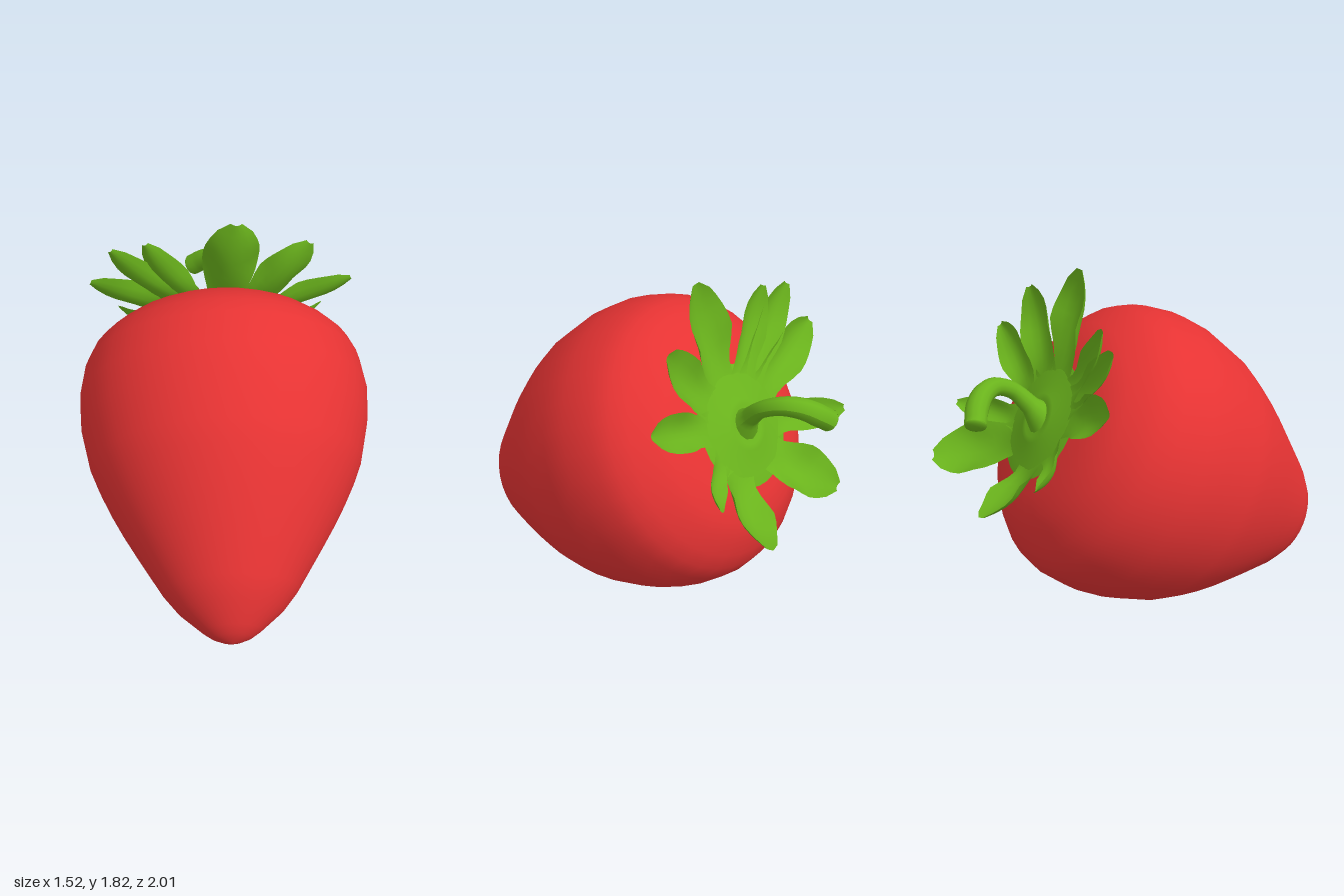
import * as THREE from 'three';

const berryRed = new THREE.MeshStandardMaterial({ color: 0xe63333 });
berryRed.name = 'berry red';
const leafGreen = new THREE.MeshStandardMaterial({ color: 0x6ab31c, side: THREE.DoubleSide });
leafGreen.name = 'leaf green';

function mesh(name, geometry, material) {
  const m = new THREE.Mesh(geometry, material);
  m.name = name;
  return m;
}

// Smooth lathe from [radius, height] pairs, listed bottom to top
function lathe(pairs, sides) {
  return new THREE.LatheGeometry(pairs.map(([r, y]) => new THREE.Vector2(r, y)), sides);
}

// Fruit body: a lathe whose tip droops slightly off the axis
function fruitGeometry() {
  const geo = lathe([
    [0, -1.265], [0.05, -1.255], [0.1, -1.235], [0.15, -1.2], [0.265, -1.1], [0.345, -1.0], [0.475, -0.79],
    [0.547, -0.67], [0.607, -0.56], [0.66, -0.45], [0.704, -0.34], [0.752, -0.12], [0.759, 0.04],
    [0.732, 0.2], [0.69, 0.29], [0.63, 0.355], [0.555, 0.415], [0.485, 0.455], [0.37, 0.493],
    [0.15, 0.515], [0, 0.52],
  ], 36);
  const pos = geo.attributes.position;
  for (let i = 0; i < pos.count; i++) {
    pos.setZ(i, pos.getZ(i) - 0.027 * THREE.MathUtils.smoothstep(-pos.getY(i), -0.1, 0.9));
  }
  return geo;
}

// Leaf running from the calyx disc to its tip: lies flat, then curls up, with raised edges
function leafGeometry([tipX, tipY, tipZ, width]) {
  const length = Math.hypot(tipX, tipZ);
  const dx = tipX / length, dz = tipZ / length;
  const start = 0.2, baseY = 0.526, baseWidth = 0.2;
  const outline = [0.8, 0.74, 0.74, 0.84, 0.95, 1, 1, 0.96, 0.84, 0.62, 0.2];
  const rows = outline.length - 1, cols = 6;
  const geo = new THREE.PlaneGeometry(1, 1, cols, rows);
  const pos = geo.attributes.position;
  for (let i = 0; i <= rows; i++) {
    const t = i / rows;
    const r = start + (length - start) * t;
    const w = THREE.MathUtils.lerp(baseWidth, width * outline[i], Math.min(1, t * 3.5));
    for (let j = 0; j <= cols; j++) {
      const u = (j / cols) * 2 - 1;
      const side = u * w / 2;
      const cup = 0.3 * w * u * u * Math.sin(Math.PI * Math.min(t, 0.75)) * Math.min(1, t * 2);
      const y = baseY + (tipY - baseY) * t ** 2.8 + cup;
      pos.setXYZ(i * (cols + 1) + j, dx * r + dz * side, y, dz * r - dx * side);
    }
  }
  geo.computeVertexNormals();
  return geo;
}

// Tube whose rings are scaled to follow a list of radii
function taperedTube(points, radii) {
  const segs = 24, sides = 12;
  const curve = new THREE.CatmullRomCurve3(points.map(p => new THREE.Vector3(...p)));
  const geo = new THREE.TubeGeometry(curve, segs, 1, sides);
  const pos = geo.attributes.position, v = new THREE.Vector3();
  for (let i = 0; i <= segs; i++) {
    const c = curve.getPointAt(i / segs);
    const f = (i / segs) * (radii.length - 1), k = Math.min(Math.floor(f), radii.length - 2);
    const r = THREE.MathUtils.lerp(radii[k], radii[k + 1], f - k);
    for (let j = 0; j <= sides; j++) {
      const n = i * (sides + 1) + j;
      v.fromBufferAttribute(pos, n).sub(c).multiplyScalar(r).add(c);
      pos.setXYZ(n, v.x, v.y, v.z);
    }
  }
  geo.computeVertexNormals();
  return { geo, curve };
}

export function createModel() {
  const model = new THREE.Group();
  model.name = 'strawberry';

  // Fruit and calyx share an axis leaning back 60 degrees
  const tilted = new THREE.Group();
  tilted.name = 'tiltedFruit';
  tilted.rotation.x = -Math.PI / 3;
  tilted.position.set(0, 0.83, -0.1);
  model.add(tilted);

  tilted.add(mesh('fruitBody', fruitGeometry(), berryRed));

  // Calyx disc with a low ring around the stem
  tilted.add(mesh('calyxDisc', lathe([
    [0.31, 0.52], [0.25, 0.53], [0.18, 0.536], [0.13, 0.55], [0.1, 0.552], [0.07, 0.545], [0, 0.545],
  ], 30), leafGreen));

  // Leaves: tip x, tip height, tip z, width
  const leaves = [
    [0.07, 0.655, 0.755, 0.29], [0.455, 0.67, 0.54, 0.24], [0.69, 0.61, 0.265, 0.19],
    [0.57, 0.7, -0.19, 0.13], [0.44, 0.75, -0.47, 0.29], [-0.25, 0.71, -0.5, 0.28],
    [-0.56, 0.7, -0.2, 0.16], [-0.69, 0.61, 0.265, 0.22], [-0.57, 0.66, 0.51, 0.19],
    [-0.39, 0.66, 0.57, 0.18],
  ];
  const calyx = new THREE.Group();
  calyx.name = 'calyxLeaves';
  leaves.forEach((leaf, i) => calyx.add(mesh('leaf' + (i + 1), leafGeometry(leaf), leafGreen)));
  tilted.add(calyx);

  // Hooked stem, thicker at its cut end
  const { geo, curve } = taperedTube([
    [0, 1.09, -0.54], [0.025, 1.18, -0.61], [0.045, 1.255, -0.68], [0.025, 1.3, -0.78],
    [-0.025, 1.29, -0.86], [-0.085, 1.245, -0.915], [-0.145, 1.195, -0.945],
  ], [0.09, 0.05, 0.042, 0.045, 0.052, 0.058, 0.056]);
  model.add(mesh('stem', geo, leafGreen));
  const end = mesh('stemEnd', new THREE.SphereGeometry(0.056, 12, 4, 0, Math.PI * 2, 0, Math.PI / 2), leafGreen);
  end.scale.y = 0.35;
  end.position.copy(curve.getPointAt(1));
  end.quaternion.setFromUnitVectors(new THREE.Vector3(0, 1, 0), curve.getTangentAt(1));
  model.add(end);

  return model;
}
